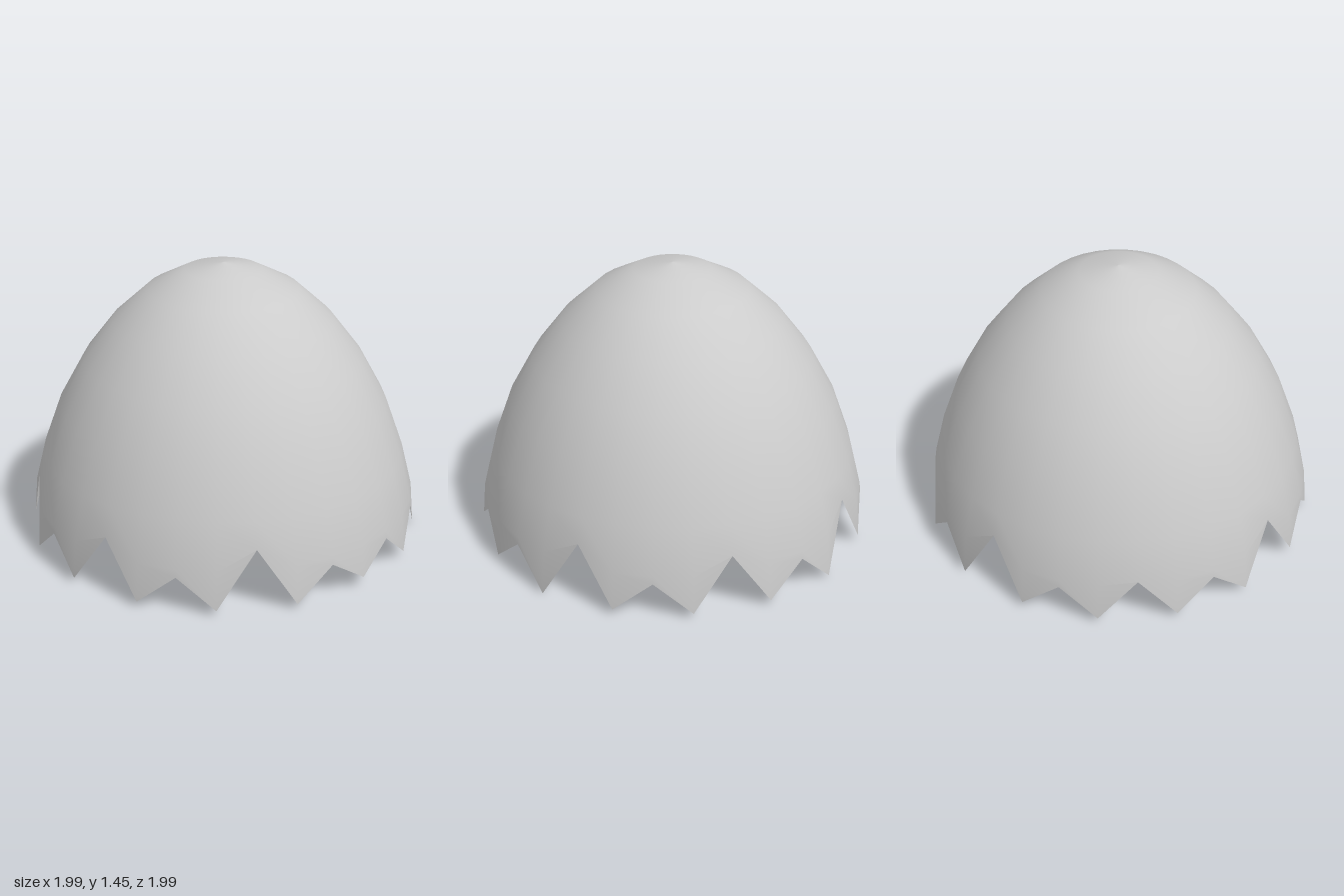
import * as THREE from 'three';

const COLUMNS = 32;
const RADIUS = 1.015;
// Ring heights from the broken edge up to the crown; radii follow a sphere.
const HEIGHTS = [0.0, 0.23, 0.46, 0.72, 0.95, 1.15, 1.31, 1.41, 1.445];
const RINGS = HEIGHTS.length;

const ringRadius = (j) => RADIUS * Math.sin(((RINGS - 1 - j) / (RINGS - 1)) * Math.PI / 2);

// Shell radius at a height on the lower rings
function radiusAt(y) {
  const j = y < HEIGHTS[1] ? 0 : 1;
  const t = (y - HEIGHTS[j]) / (HEIGHTS[j + 1] - HEIGHTS[j]);
  return THREE.MathUtils.lerp(ringRadius(j), ringRadius(j + 1), t);
}

// Height of the jagged rim: tips on odd columns, notches on even ones,
// every second notch deep, with a few irregular breaks.
const IRREGULAR = { 0: 0.31, 7: 0.06, 8: 0.19, 11: 0, 16: 0.31, 19: 0.01, 20: 0.34, 24: 0.25 };
function rimHeight(column) {
  const k = column % COLUMNS;
  if (k in IRREGULAR) return IRREGULAR[k];
  if (k % 2) return 0.03;
  return k % 4 ? 0.19 : 0.33;
}

export function createModel() {
  const group = new THREE.Group();
  group.name = 'crackedEggshell';

  // Smooth dome
  const profile = HEIGHTS.map((y, j) => new THREE.Vector2(ringRadius(j), y));
  const geometry = new THREE.LatheGeometry(profile, COLUMNS);

  // Raise the lowest two rings to the zigzag edge, sliding along the shell
  const position = geometry.attributes.position;
  for (let i = 0; i <= COLUMNS; i++) {
    const angle = (i / COLUMNS) * Math.PI * 2;
    for (let j = 0; j < 2; j++) {
      const y = Math.max(HEIGHTS[j], rimHeight(i));
      const r = radiusAt(y);
      position.setXYZ(i * RINGS + j, r * Math.sin(angle), y, r * Math.cos(angle));
    }
  }

  const shell = new THREE.Mesh(
    geometry,
    new THREE.MeshStandardMaterial({ color: 0xcccccc, side: THREE.DoubleSide })
  );
  shell.name = 'eggshellTop';
  shell.position.set(-0.005, 0, -0.005);
  group.add(shell);
  return group;
}
